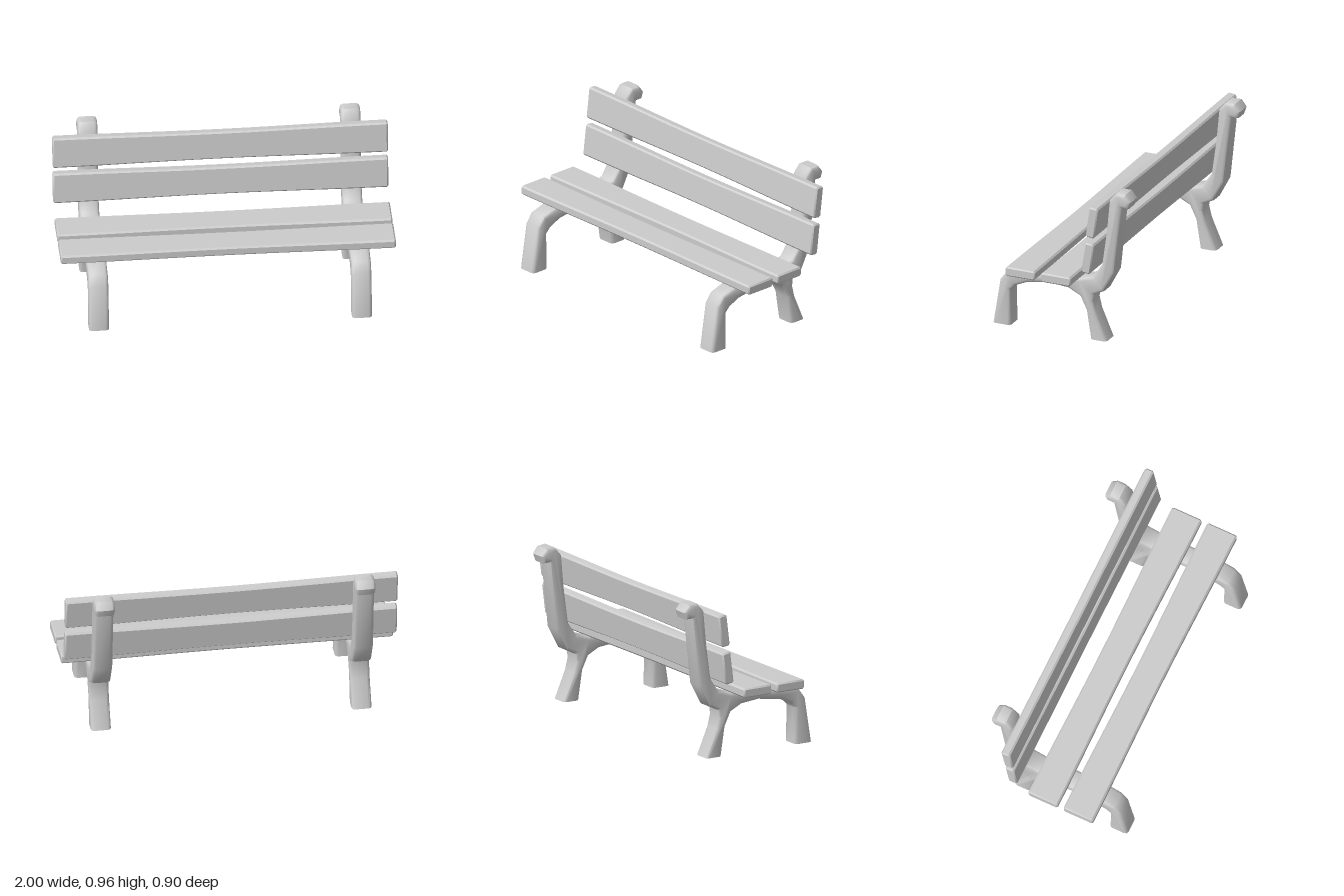
import * as THREE from 'three';
import { toCreasedNormals } from 'three/addons/utils/BufferGeometryUtils.js';

const material = new THREE.MeshStandardMaterial({ color: 0xcccccc });

// Extrudes a (z, y) outline along x, centred on x = 0, with rounded edges kept inside the outline.
function extrudeAlongX(points, length, bevel, bevelSegments, steps) {
  const shape = new THREE.Shape(points.map(([z, y]) => new THREE.Vector2(z, y)));
  const geometry = new THREE.ExtrudeGeometry(shape, {
    depth: length - 2 * bevel, steps,
    bevelThickness: bevel, bevelSize: bevel, bevelOffset: -bevel, bevelSegments,
  });
  geometry.translate(0, 0, -(length / 2 - bevel));
  geometry.rotateY(-Math.PI / 2);
  return geometry;
}

// Side frame: front leg, seat rail, back post with curled top, and rear leg in one casting.
function frameGeometry() {
  const bevel = 0.02;
  const outline = [
    [0.45, -bevel], [0.45, 0], [0.405, 0.28], [0.36, 0.34], [0.25, 0.375], [0.08, 0.38], [-0.12, 0.38],
    [-0.205, 0.405], [-0.26, 0.485], [-0.29, 0.7], [-0.31, 0.91], [-0.355, 0.96],
    [-0.415, 0.96], [-0.449, 0.915], [-0.434, 0.87], [-0.39, 0.87], [-0.345, 0.45],
    [-0.275, 0.318], [-0.21, 0.285], [-0.205, 0.24], [-0.222, 0.17], [-0.295, 0], [-0.295, -bevel],
    [-0.188, -bevel], [-0.188, 0], [-0.16, 0.18], [-0.12, 0.262], [-0.045, 0.3], [0.08, 0.312],
    [0.23, 0.29], [0.305, 0.257], [0.335, 0.225], [0.332, 0], [0.332, -bevel],
  ];
  const geometry = extrudeAlongX(outline, 0.12, bevel, 2, 1);
  // Flatten the feet onto the ground
  const p = geometry.attributes.position;
  for (let i = 0; i < p.count; i++) p.setY(i, Math.max(0, p.getY(i)));
  return toCreasedNormals(geometry, 0.8);
}

// Plank: chamfered section, slightly waisted towards the middle.
function plankGeometry() {
  const w = 0.0975, t = 0.029, c = 0.01;
  const section = [
    [w, -t + c], [w, t - c], [w - c, t], [-w + c, t],
    [-w, t - c], [-w, -t + c], [-w + c, -t], [w - c, -t],
  ];
  const geometry = extrudeAlongX(section, 2, 0.008, 1, 12);
  const p = geometry.attributes.position;
  for (let i = 0; i < p.count; i++) {
    const waist = 0.5 + 0.5 * Math.cos(Math.PI * p.getX(i));
    p.setZ(i, p.getZ(i) * (1 - 0.095 * waist));
  }
  return toCreasedNormals(geometry, 0.6);
}

export function createModel() {
  const bench = new THREE.Group();
  bench.name = 'bench';
  const add = (name, geometry, x, y, z, tilt = 0) => {
    const mesh = new THREE.Mesh(geometry, material);
    mesh.name = name;
    mesh.position.set(x, y, z);
    mesh.rotation.x = tilt;
    bench.add(mesh);
  };

  const frame = frameGeometry();
  add('leftFrame', frame, 0.785, 0, 0);
  add('rightFrame', frame, -0.785, 0, 0);

  const plank = plankGeometry();
  const lean = -(Math.PI / 2 + 0.125);
  add('frontSeatPlank', plank, 0, 0.41, 0.2);
  add('rearSeatPlank', plank, 0, 0.41, -0.032);
  add('lowerBackPlank', plank, 0, 0.582, -0.241, lean);
  add('upperBackPlank', plank, 0, 0.815, -0.268, lean);
  return bench;
}
